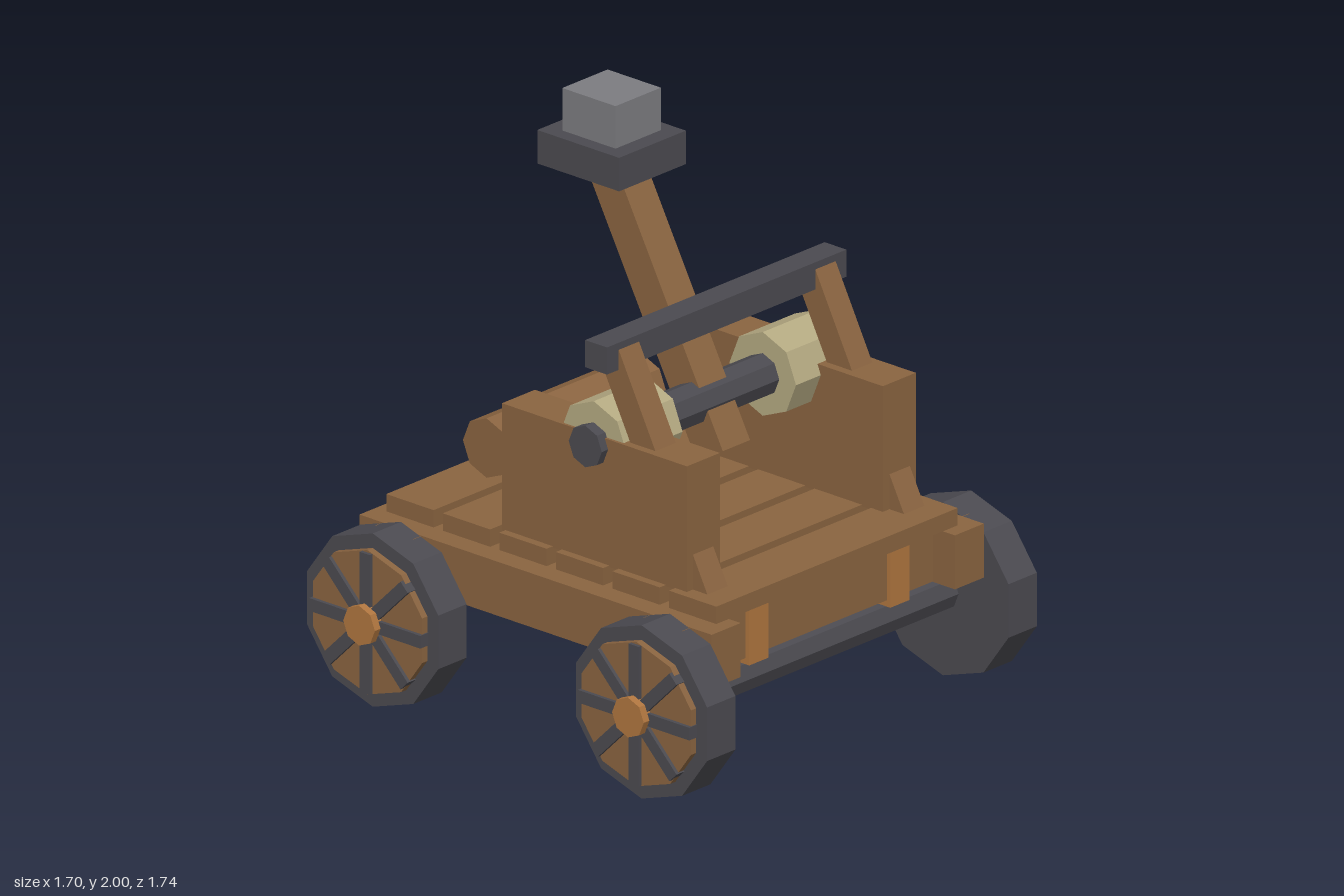
import * as THREE from 'three';

const flat = (name, color) => {
  const m = new THREE.MeshStandardMaterial({ color, flatShading: true });
  m.name = name;
  return m;
};

export function createModel() {
  const wood = flat('wood', 0x8a6440);
  const lightWood = flat('lightWood', 0xb0763f);
  const iron = flat('darkIron', 0x4b4a50);
  const rope = flat('rope', 0xb5aa82);
  const stone = flat('stone', 0x7c7c80);

  const model = new THREE.Group();
  model.name = 'catapult';

  const add = (parent, name, geometry, material, x, y, z) => {
    const mesh = new THREE.Mesh(geometry, material);
    mesh.name = name;
    mesh.position.set(x, y, z);
    parent.add(mesh);
    return mesh;
  };
  // Box given by its limits on each axis
  const box = (name, mat, x0, x1, y0, y1, z0, z1, parent = model) =>
    add(parent, name, new THREE.BoxGeometry(x1 - x0, y1 - y0, z1 - z0), mat,
      (x0 + x1) / 2, (y0 + y1) / 2, (z0 + z1) / 2);
  // Faceted rod along x, with a corner pointing straight up
  const rod = (name, mat, r, sides, x0, x1, y, z, parent = model) =>
    add(parent, name,
      new THREE.CylinderGeometry(r, r, x1 - x0, sides).rotateY(Math.PI / 2).rotateZ(Math.PI / 2),
      mat, (x0 + x1) / 2, y, z);
  // Square beam leaning in the yz plane between two end points
  const beam = (name, mat, x, size, [y0, z0], [y1, z1]) => {
    const length = Math.hypot(y1 - y0, z1 - z0);
    const mesh = add(model, name, new THREE.BoxGeometry(size, length, size), mat,
      x, (y0 + y1) / 2, (z0 + z1) / 2);
    mesh.rotation.x = Math.atan2(z1 - z0, y1 - y0);
    return mesh;
  };

  // Wheels: iron rim, wooden face, four crossing spoke bars and a hub
  for (const side of [1, -1]) {
    for (const z of [0.585, -0.585]) {
      const wheel = new THREE.Group();
      wheel.name = (z > 0 ? 'front' : 'back') + (side > 0 ? 'Left' : 'Right') + 'Wheel';
      wheel.position.set(0, 0.302, z);
      if (side < 0) wheel.rotation.y = Math.PI;
      rod('rim', iron, 0.3, 10, 0.65, 0.785, 0, 0, wheel);
      rod('wheelFace', wood, 0.25, 10, 0.78, 0.81, 0, 0, wheel);
      for (let i = 0; i < 4; i++) {
        const spoke = box('spoke', iron, 0.785, 0.823, -0.242, 0.242, -0.022, 0.022, wheel);
        spoke.rotation.x = i * Math.PI / 4;
      }
      rod('hub', lightWood, 0.069, 8, 0.785, 0.85, 0, 0, wheel);
      model.add(wheel);
    }
  }

  // Axles and the cross beams above them
  for (const z of [0.585, -0.585]) {
    rod('axle', iron, 0.068, 8, -0.66, 0.66, 0.302, z);
    box('crossBeam', wood, -0.685, 0.685, 0.392, 0.575, z - 0.085, z + 0.085);
  }

  // Deck planks
  for (let i = 0; i < 6; i++) {
    const z = (i - 2.5) * 0.246;
    box('deckPlank', wood, -0.575, 0.575, 0.58, 0.64, z - 0.103, z + 0.103);
  }

  for (const side of [1, -1]) {
    // Mirrored x limits
    const xs = (a, b) => (side > 0 ? [a, b] : [-b, -a]);
    box('sideRail', wood, ...xs(0.51, 0.648), 0.39, 0.577, -0.768, 0.765);
    box('beamStrap', lightWood, ...xs(0.29, 0.382), 0.37, 0.579, 0.487, 0.685);
    box('sideTower', wood, ...xs(0.388, 0.545), 0.635, 1.075, -0.242, 0.563);
    beam('brace', wood, side * 0.468, 0.097, [0.6, 0.592], [1.36, 0.197]);
    rod('ropeCoil', rope, 0.145, 8, ...xs(0.27, 0.535), 1.04, 0.148);
  }

  // Winding axle, stop bar and log behind the towers
  rod('windingAxle', iron, 0.072, 8, -0.575, 0.575, 1.04, 0.148);
  box('stopBar', iron, -0.572, 0.568, 1.313, 1.407, 0.145, 0.24);
  rod('log', wood, 0.103, 8, -0.372, 0.372, 0.807, -0.467);

  // Throwing arm with its bucket and stone
  beam('throwingArm', wood, -0.002, 0.13, [0.878, 0.225], [1.745, -0.245]);
  box('bucket', iron, -0.16, 0.158, 1.737, 1.853, -0.44, -0.084);
  box('stoneBlock', stone, -0.109, 0.107, 1.85, 2, -0.378, -0.146);

  return model;
}
